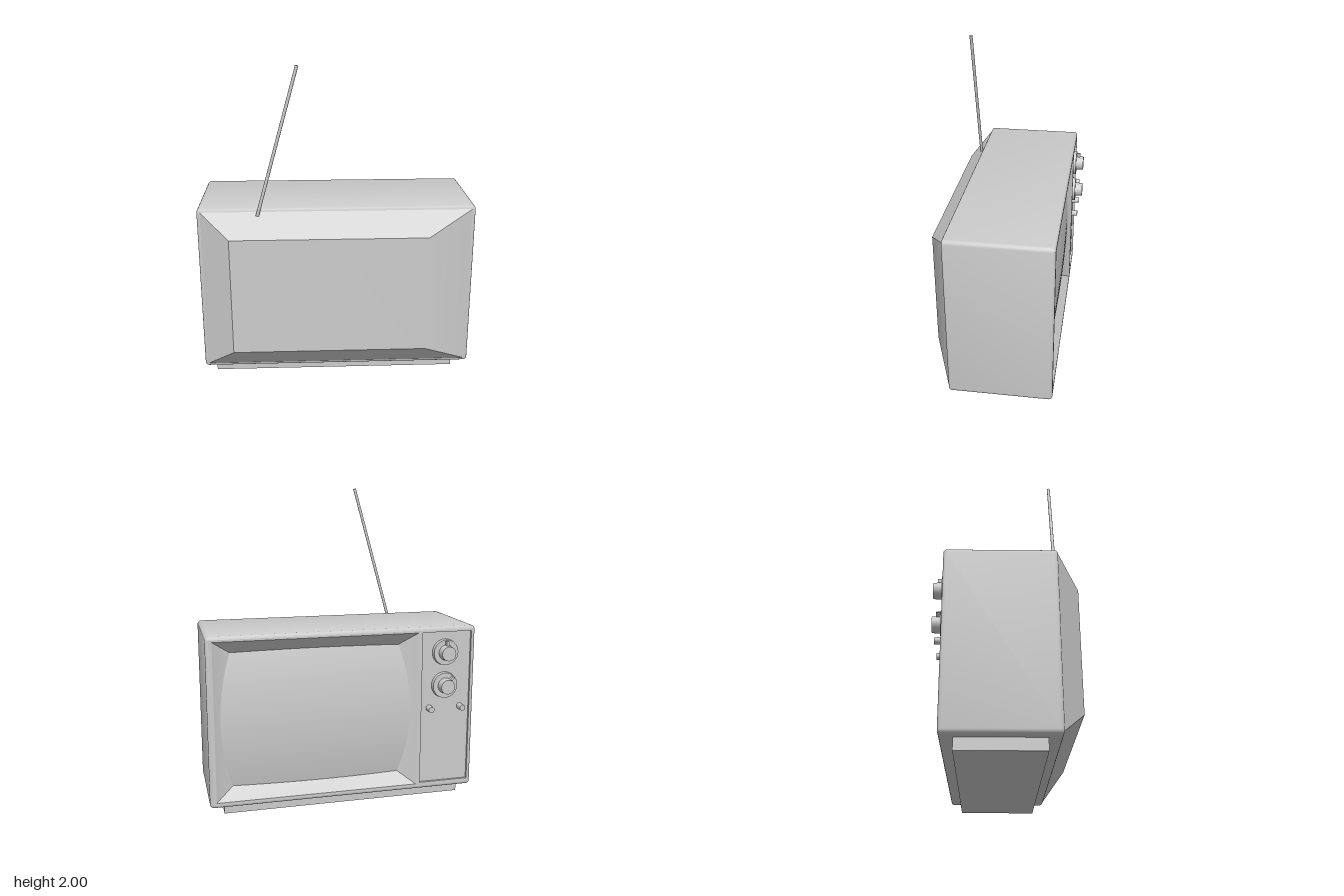
import * as THREE from 'three';
import { toCreasedNormals } from 'three/addons/utils/BufferGeometryUtils.js';

const grey = new THREE.MeshStandardMaterial({ color: 0xcccccc });
const FRONT = 0.32, BACK = -0.32;
const cabinet = { x0: -0.855, x1: 0.855, y0: 0.07, y1: 1.14 };
const screenHole = { x0: -0.815, x1: 0.472, y0: 0.105, y1: 1.107 };
const panelHole = { x0: 0.5, x1: 0.828, y0: 0.113, y1: 1.107 };

function add(parent, name, geometry, x = 0, y = 0, z = 0) {
  const mesh = new THREE.Mesh(geometry, grey);
  mesh.name = name;
  mesh.position.set(x, y, z);
  parent.add(mesh);
  return mesh;
}

// Counter-clockwise rectangle, inset by dx/dy, with optional round corners
function ring(rect, z, dx = 0, dy = dx, r = 0) {
  const x0 = rect.x0 + dx, x1 = rect.x1 - dx, y0 = rect.y0 + dy, y1 = rect.y1 - dy;
  const corners = [[x1 - r, y1 - r], [x0 + r, y1 - r], [x0 + r, y0 + r], [x1 - r, y0 + r]];
  const steps = r > 0 ? 4 : 0, points = [];
  corners.forEach(([cx, cy], k) => {
    for (let i = 0; i <= steps; i++) {
      const a = (k + (steps ? i / steps : 0)) * Math.PI / 2;
      points.push([cx + r * Math.cos(a), cy + r * Math.sin(a), z]);
    }
  });
  return points;
}

// Skin between successive rings; the chosen ends are closed with a fan
function loft(rings, capStart, capEnd) {
  const pos = [], n = rings[0].length;
  const centre = (loop) => [0, 1, 2].map((k) => loop.reduce((s, p) => s + p[k], 0) / n);
  const tri = (...points) => points.forEach((p) => pos.push(...p));
  const first = rings[0], last = rings[rings.length - 1];
  for (let i = 0; i < n; i++) {
    const j = (i + 1) % n;
    for (let k = 0; k < rings.length - 1; k++) {
      const a = rings[k], b = rings[k + 1];
      tri(a[i], a[j], b[j]);
      tri(a[i], b[j], b[i]);
    }
    if (capStart) tri(centre(first), first[j], first[i]);
    if (capEnd) tri(centre(last), last[i], last[j]);
  }
  const g = new THREE.BufferGeometry();
  g.setAttribute('position', new THREE.Float32BufferAttribute(pos, 3));
  return toCreasedNormals(g, 0.6);
}

const outline = (points, Type) => new Type(points.map((p) => new THREE.Vector2(p[0], p[1])));

// Cylinder whose axis runs front to back, from z0 to z1
function dial(parent, name, r0, r1, z0, z1, x, y) {
  const g = new THREE.CylinderGeometry(r1, r0, z1 - z0, 32).rotateX(Math.PI / 2);
  return add(parent, name, g, x, y, (z0 + z1) / 2);
}

function controlKnob(parent, name, x, y, turn) {
  const knob = new THREE.Group();
  knob.name = name;
  knob.position.set(x, y, 0);
  knob.rotation.z = turn;
  dial(knob, 'knobPlate', 0.085, 0.082, 0.3, 0.332, 0, 0);
  dial(knob, 'knobGrip', 0.05, 0.046, 0.33, 0.382, 0, 0);
  add(knob, 'knobPointer', new THREE.BoxGeometry(0.016, 0.05, 0.025), 0, 0.05, 0.345);
  parent.add(knob);
}

export function createModel() {
  const model = new THREE.Group();
  model.name = 'television';
  const tv = new THREE.Group();
  tv.name = 'televisionSet';
  tv.rotation.y = Math.PI * 0.75;
  model.add(tv);

  // Cabinet shell with rounded edges
  const r = 0.02, shell = [];
  for (const side of [-1, 1]) {
    for (let i = 0; i <= 4; i++) {
      const a = (side < 0 ? 4 - i : i) / 4 * Math.PI / 2;
      const inset = r * (1 - Math.cos(a));
      shell.push(ring(cabinet, side * (FRONT - r + r * Math.sin(a)), inset, inset, r - inset + 0.004));
    }
  }
  add(tv, 'cabinet', loft(shell, true, false));

  // Front frame with openings for the screen and the controls
  const face = outline(ring(cabinet, FRONT, r, r, 0.004), THREE.Shape);
  for (const hole of [screenHole, panelHole]) {
    face.holes.push(outline(ring(hole, FRONT).reverse(), THREE.Path));
  }
  add(tv, 'frontFrame', new THREE.ShapeGeometry(face), 0, 0, FRONT);

  // Sloping screen surround and shallow control panel
  add(tv, 'screenSurround', loft([ring(screenHole, FRONT), ring(screenHole, 0.23, 0.145, 0.105)], false, true));
  add(tv, 'controlPanel', loft([ring(panelHole, FRONT), ring(panelHole, 0.305)], false, true));

  // Bulging screen, trimmed by the surround
  const screen = new THREE.PlaneGeometry(1.22, 0.93, 24, 24);
  const p = screen.attributes.position;
  for (let i = 0; i < p.count; i++) {
    const u = p.getX(i) / 0.53, v = p.getY(i) / 0.425;
    p.setZ(i, 0.252 + 0.046 * (1 - v * v) + 0.008 * (1 - u * u));
  }
  screen.computeVertexNormals();
  add(tv, 'screen', screen, -0.171, 0.602, 0);

  // Controls
  controlKnob(tv, 'upperKnob', 0.655, 0.975, 0);
  controlKnob(tv, 'lowerKnob', 0.655, 0.76, -0.7);
  for (const x of [0.557, 0.768]) dial(tv, 'smallKnob', 0.021, 0.019, 0.3, 0.357, x, 0.61);

  // Tapered rear housing
  const rear = { x0: -0.552, x1: 0.654, y0: 0.235, y1: 0.983 };
  const rearBase = { x0: -0.837, x1: 0.837, y0: 0.088, y1: 1.122 };
  add(tv, 'rearHousing', loft([ring(rear, -0.447), ring(rearBase, BACK + 0.002)], true, false));

  // Plinth
  add(tv, 'plinth', new THREE.BoxGeometry(1.55, 0.08, 0.486), 0.013, 0.04, 0);

  // Aerial leaning sideways behind the cabinet
  const foot = new THREE.Vector3(0.485, 1.1, -0.337), tip = new THREE.Vector3(0.232, 1.998, -0.337);
  const lean = tip.clone().sub(foot);
  const aerial = add(tv, 'aerial', new THREE.CylinderGeometry(0.01, 0.01, lean.length(), 12));
  aerial.position.copy(foot).add(tip).multiplyScalar(0.5);
  aerial.quaternion.setFromUnitVectors(new THREE.Vector3(0, 1, 0), lean.normalize());

  return model;
}
